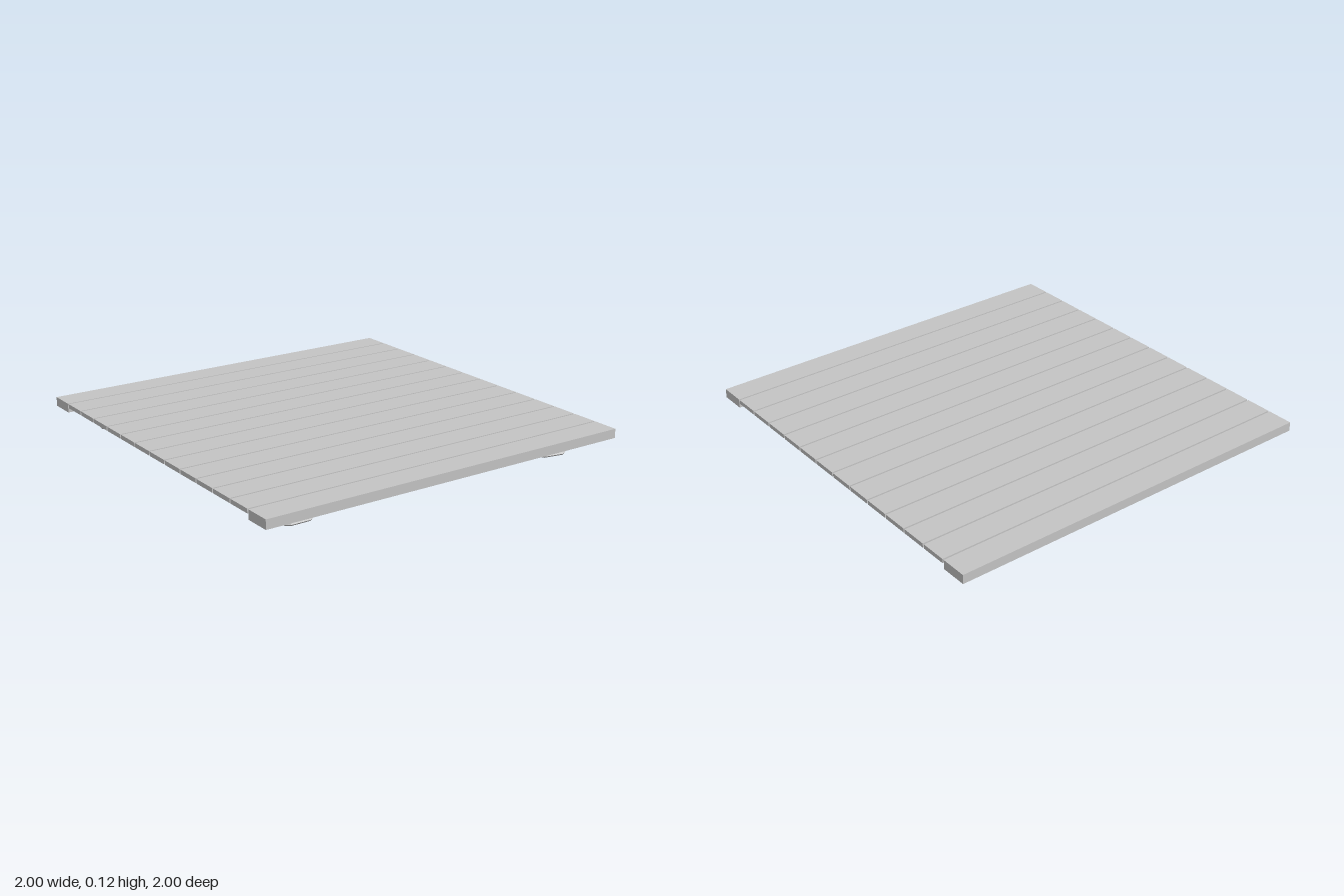
import * as THREE from 'three';

const SLATS = 14, SLAT_W = 0.135, PITCH = (2 - SLAT_W) / (SLATS - 1);
const TOP = 0.122, SLAT_BOTTOM = 0.1, RAIL_BOTTOM = 0.075;

export function createModel() {
  const model = new THREE.Group();
  model.name = 'slattedPlatform';
  const grey = new THREE.MeshStandardMaterial({ color: 0xc4c4c4, flatShading: true });
  grey.name = 'plain grey';

  function bar(name, length, y0, y1, depth, z) {
    const mesh = new THREE.Mesh(new THREE.BoxGeometry(length, y1 - y0, depth), grey);
    mesh.name = name;
    mesh.position.set(0, (y0 + y1) / 2, z);
    model.add(mesh);
  }

  // Deck boards; the first and last are deeper edge boards
  for (let i = 0; i < SLATS; i++) {
    const edge = i === 0 || i === SLATS - 1;
    const z = -1 + SLAT_W / 2 + i * PITCH;
    bar(edge ? 'edgeBoard' : 'slat', 2, edge ? RAIL_BOTTOM : SLAT_BOTTOM, TOP, SLAT_W, z);
  }

  // Rails under the boards
  for (const z of [-0.73, 0, 0.73]) bar('rail', 1.91, RAIL_BOTTOM, SLAT_BOTTOM, 0.094, z);

  // Faceted feet: flared base, narrow waist, flared collar and top cap
  const profile = [
    [0, 0], [0.134, 0], [0.142, 0.008], [0.122, 0.036], [0.105, 0.04],
    [0.123, 0.046], [0.117, 0.056], [0.104, 0.076], [0.088, 0.078], [0.085, 0.09], [0, 0.09],
  ].map(([r, y]) => new THREE.Vector2(r, y));
  const footGeometry = new THREE.LatheGeometry(profile, 8);
  let turn = 0.1;
  for (const x of [-0.745, 0.745]) for (const z of [-0.75, 0.75]) {
    const foot = new THREE.Mesh(footGeometry, grey);
    foot.name = 'foot';
    foot.position.set(x, 0, z);
    foot.rotation.y = turn;
    turn += 0.3;
    model.add(foot);
  }
  return model;
}
